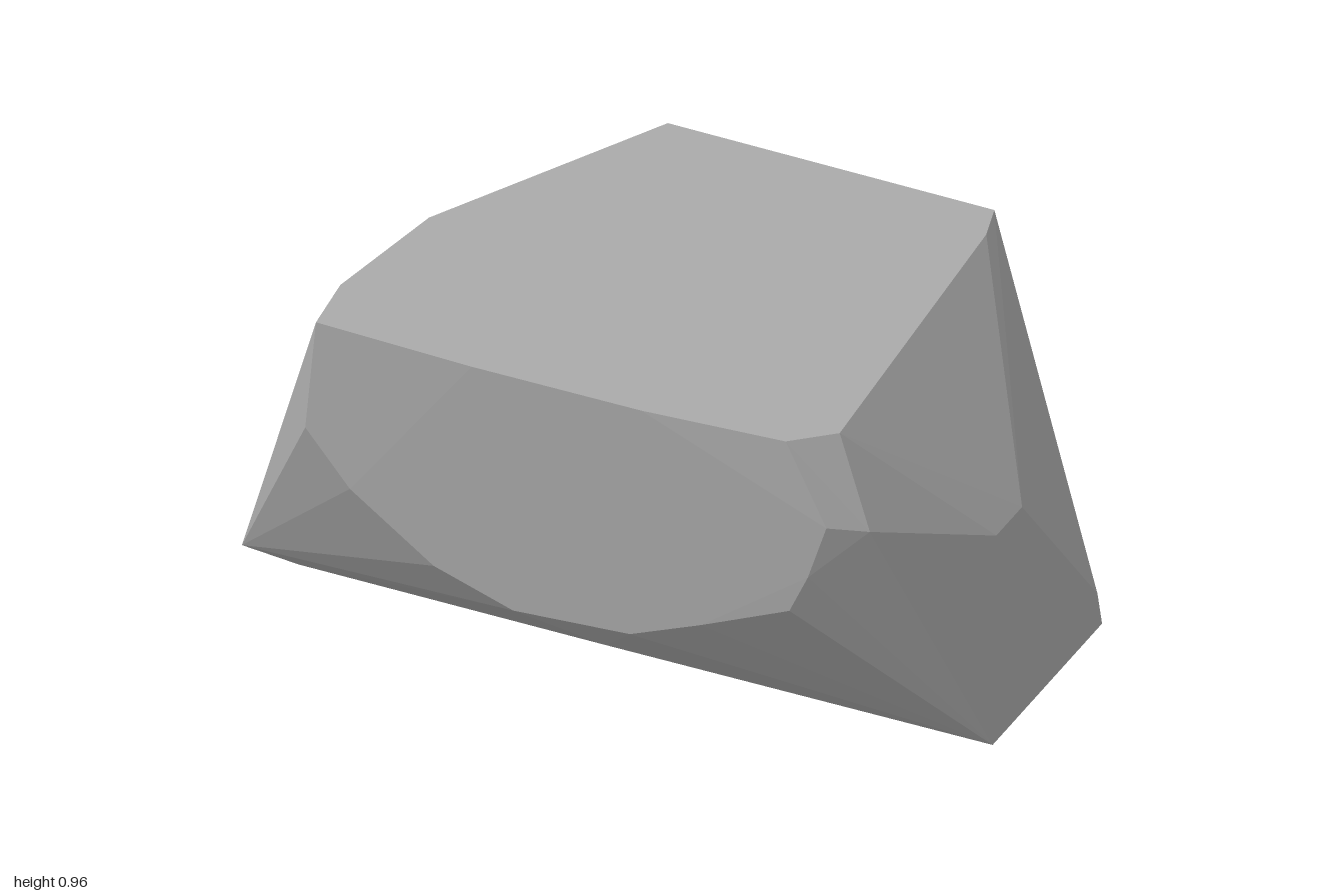
import * as THREE from 'three';
import { ConvexGeometry } from 'three/addons/geometries/ConvexGeometry.js';

export function createModel() {
  const model = new THREE.Group();
  model.name = 'rock';
  const stone = new THREE.MeshStandardMaterial({ color: 0xaaaaaa });
  stone.name = 'grey stone';

  const corners = [];
  const add = (x, y, z) => corners.push(new THREE.Vector3(x, y, z));

  // flat top outline (x, z)
  [[-0.25, -0.585], [0.62, -0.585], [0.65, -0.48], [0.72, 0.46], [0.62, 0.55], [0.25, 0.58],
    [-0.2, 0.585], [-0.62, 0.573], [-0.64, 0.4], [-0.58, 0.04]].forEach(([x, z]) => add(x, 0.96, z));

  // flat base outline (x, z)
  [[-1, 0.2], [-0.97, 0.06], [0.29, -0.35], [0.53, -0.39], [1, -0.395], [1, 0.2],
    [-0.84, 0.217]].forEach(([x, z]) => add(x, 0, z));

  // steep end face at +x (y, z)
  [[0.1, -0.37], [0.585, 0.04], [0.585, 0.18]].forEach(([y, z]) => add(1, y, z));

  // rounded lower edge of the front face
  [[0.82, 0.73, 0.5], [0.73, 0.745, 0.553], [0.68, 0.59, 0.552], [0.63, 0.48, 0.55],
    [0.4, 0.38, 0.56], [0.21, 0.3, 0.56], [-0.1, 0.28, 0.562], [-0.31, 0.35, 0.566],
    [-0.53, 0.51, 0.572], [-0.65, 0.65, 0.57], [0.11, 0.2, 0.49]].forEach((p) => add(...p));

  // scalloped lower edge of the back face (x, y)
  [[0.545, 0.845], [0.44, 0.76], [0.275, 0.715], [0.065, 0.73],
    [-0.13, 0.805]].forEach(([x, y]) => add(x, y, -0.585));

  const rock = new THREE.Mesh(new ConvexGeometry(corners), stone);
  rock.name = 'boulder';
  model.add(rock);
  return model;
}
